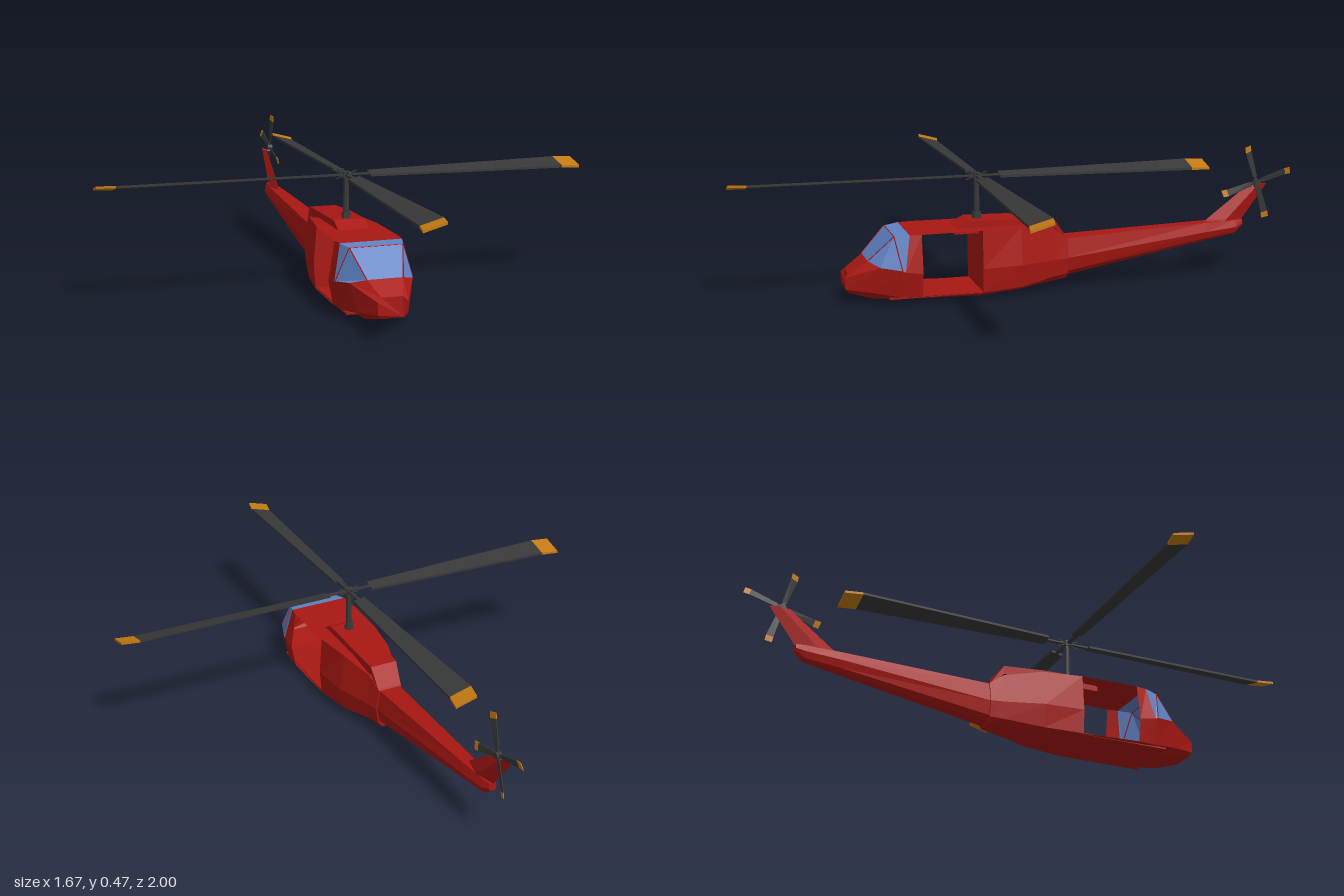
import * as THREE from 'three';

const mat = (color) => new THREE.MeshStandardMaterial({ color, flatShading: true, side: THREE.DoubleSide });
const red = mat(0xa81712), blue = mat(0x5f82c4), dark = mat(0x383838), orange = mat(0xc47a12);

// Skin between rings of [x, y, z] running towards -z; keep(i, j) picks the quads
function loft(rings, { keep = () => true, capStart = false, capEnd = false } = {}) {
  const pos = [], n = rings[0].length;
  const tri = (a, b, c) => pos.push(...a, ...b, ...c);
  for (let i = 0; i < rings.length - 1; i++) {
    for (let j = 0; j < n; j++) {
      if (!keep(i, j)) continue;
      const k = (j + 1) % n, A = rings[i], B = rings[i + 1];
      tri(A[j], B[j], B[k]);
      tri(A[j], B[k], A[k]);
    }
  }
  const first = rings[0], last = rings[rings.length - 1];
  for (let j = 1; j < n - 1; j++) {
    if (capStart) tri(first[0], first[j], first[j + 1]);
    if (capEnd) tri(last[0], last[j + 1], last[j]);
  }
  const g = new THREE.BufferGeometry();
  g.setAttribute('position', new THREE.Float32BufferAttribute(pos, 3));
  g.computeVertexNormals();
  return g;
}

// Mirror a half section (bottom, chine, belt, top) into a full ring
const ring = (half) => [...half, ...half.slice().reverse().map(([x, y, z]) => [-x, y, z])];
const station = (z, ...half) => ring(half.map(([x, y]) => [x, y, z]));

function add(parent, name, geometry, material) {
  const mesh = new THREE.Mesh(geometry, material);
  mesh.name = name;
  parent.add(mesh);
  return mesh;
}

// Blade along -z from stations [radius, half chord, half twist, sweep]
function bladePiece(stations, t) {
  return loft(stations.map(([r, w, p, s]) => [
    [s + w, -p - t, -r], [s + w, -p + t, -r], [s - w, p + t, -r], [s - w, p - t, -r],
  ]), { capStart: true, capEnd: true });
}

function makeRotor(name, { root, tipStart, tip, rootW, tipW, twist, sweep, t, rod, hub, spin }) {
  const rotor = new THREE.Group();
  rotor.name = name;
  for (let k = 0; k < 4; k++) {
    const arm = new THREE.Group();
    arm.name = 'rotorArm';
    arm.rotation.y = spin + k * Math.PI / 2;
    add(arm, 'blade', bladePiece([[root, rootW, twist * 0.4, 0], [tipStart, tipW, twist, 0]], t), dark);
    add(arm, 'bladeTip', bladePiece([[tipStart, tipW, twist, 0], [tip, tipW, twist, sweep]], t), orange);
    const grip = add(arm, 'bladeGrip', new THREE.BoxGeometry(rod * 2, rod, root), dark);
    grip.position.z = -root / 2;
    rotor.add(arm);
  }
  add(rotor, 'hub', new THREE.CylinderGeometry(hub, hub, hub * 1.5, 8), dark);
  return rotor;
}

export function createModel() {
  const model = new THREE.Group();
  model.name = 'helicopter';

  // Cockpit shell, with window panes taken out and filled with glass
  const cockpit = [
    ring([[0.04, 0.04, 0.62], [0.05, 0.055, 0.63], [0.05, 0.095, 0.63], [0.035, 0.108, 0.62]]),
    ring([[0.06, 0.02, 0.54], [0.085, 0.045, 0.54], [0.105, 0.135, 0.52], [0.06, 0.15, 0.555]]),
    ring([[0.06, 0.012, 0.45], [0.11, 0.03, 0.45], [0.13, 0.125, 0.45], [0.09, 0.235, 0.47]]),
    ring([[0.06, 0.011, 0.42], [0.113, 0.03, 0.42], [0.13, 0.12, 0.44], [0.105, 0.24, 0.42]]),
    station(0.38, [0.06, 0.01], [0.115, 0.03], [0.13, 0.11], [0.11, 0.24]),
  ];
  const isGlass = (i, j) => (i === 1 || i === 2) && j >= 2 && j <= 4;
  add(model, 'cockpitShell', loft(cockpit, { keep: (i, j) => !isGlass(i, j), capStart: true }), red);
  add(model, 'windshield', loft(cockpit, { keep: isGlass }), blue);

  // Window frame bars
  const bar = (a, b) => add(model, 'windowFrame', new THREE.TubeGeometry(
    new THREE.LineCurve3(new THREE.Vector3(...a), new THREE.Vector3(...b)), 1, 0.002, 4), red);
  for (const j of [3, 4]) bar(cockpit[1][j], cockpit[2][j]);
  for (const j of [2, 5]) bar(cockpit[2][j], cockpit[2][j === 2 ? 3 : 4]);
  bar(cockpit[2][3], cockpit[2][4]);

  // Cabin belly and roof, open on both sides
  const rearWall = station(0.17, [0.06, 0.003], [0.108, 0.025], [0.115, 0.11], [0.105, 0.24]);
  const cabin = [station(0.38, [0.06, 0.01], [0.115, 0.03], [0.115, 0.11], [0.11, 0.24]), rearWall];
  add(model, 'cabinBellyAndRoof', loft(cabin, { keep: (i, j) => [0, 3, 6, 7].includes(j) }), red);
  const floor = add(model, 'cabinFloor', new THREE.BoxGeometry(0.21, 0.006, 0.32), red);
  floor.position.set(0, 0.026, 0.33);

  // Rear fuselage, starting with the cabin's rear wall
  add(model, 'rearFuselage', loft([
    rearWall,
    station(0.03, [0.05, 0.012], [0.09, 0.03], [0.104, 0.11], [0.085, 0.238]),
    station(-0.1, [0.035, 0.03], [0.055, 0.05], [0.064, 0.11], [0.05, 0.215]),
    station(-0.15, [0.03, 0.036], [0.045, 0.055], [0.054, 0.11], [0.042, 0.18]),
  ], { capStart: true, capEnd: true }), red);

  // Tail boom
  add(model, 'tailBoom', loft([
    station(-0.14, [0.022, 0.042], [0.04, 0.06], [0.05, 0.11], [0.038, 0.178]),
    station(-0.67, [0.012, 0.13], [0.022, 0.14], [0.031, 0.165], [0.022, 0.197]),
    station(-0.79, [0.01, 0.15], [0.016, 0.155], [0.024, 0.175], [0.015, 0.2]),
    station(-0.82, [0.006, 0.175], [0.01, 0.178], [0.014, 0.185], [0.01, 0.2]),
  ], { capStart: true, capEnd: true }), red);

  // Swept tail fin, from root up to tip: [y, leading z, trailing z, half width]
  const fin = [[0.18, -0.66, -0.81, 0.02], [0.205, -0.685, -0.825, 0.018], [0.325, -0.845, -0.915, 0.009]];
  add(model, 'tailFin', loft(fin.map(([y, a, b, w]) => {
    const m = (a + b) / 2;
    return [[0, y, a], [-w, y, m], [0, y, b], [w, y, m]];
  }), { capStart: true, capEnd: true }), red);

  // Engine housing on the roof
  add(model, 'engineHousing', loft([
    [0.255, 0.236, 0.054], [0.2, 0.264, 0.054], [0.05, 0.26, 0.054], [-0.1, 0.25, 0.048], [-0.15, 0.175, 0.042],
  ].map(([z, y, w]) => [[w, Math.min(0.22, y - 0.01), z], [w, y, z], [-w, y, z], [-w, Math.min(0.22, y - 0.01), z]]),
  { capStart: true, capEnd: true }), red);

  // Mast with base collar
  const mast = add(model, 'rotorMast', new THREE.CylinderGeometry(0.009, 0.011, 0.16, 8), dark);
  mast.position.set(0, 0.335, 0.165);
  const collar = add(model, 'mastCollar', new THREE.CylinderGeometry(0.015, 0.017, 0.025, 8), dark);
  collar.position.set(0, 0.272, 0.165);

  // Main rotor
  const main = makeRotor('mainRotor', {
    root: 0.08, tipStart: 0.775, tip: 0.835, rootW: 0.02, tipW: 0.037, twist: 0.01,
    sweep: 0.013, t: 0.004, rod: 0.006, hub: 0.014, spin: 0,
  });
  main.position.set(0, 0.41, 0.165);
  for (let k = 0; k < 4; k++) {
    const link = add(main, 'pitchLink', new THREE.BoxGeometry(0.08, 0.003, 0.004), dark);
    link.rotation.set(0, k * Math.PI / 2, k % 2 ? 0.35 : -0.35);
  }
  model.add(main);

  // Tail rotor on the left of the fin
  const tail = makeRotor('tailRotor', {
    root: 0.02, tipStart: 0.115, tip: 0.135, rootW: 0.008, tipW: 0.012, twist: 0.003,
    sweep: 0.003, t: 0.0015, rod: 0.005, hub: 0.012, spin: 0.3,
  });
  tail.rotation.z = -Math.PI / 2;
  tail.position.set(0.018, 0.335, -0.867);
  model.add(tail);
  const shaft = add(model, 'tailRotorShaft', new THREE.CylinderGeometry(0.006, 0.006, 0.03, 6), dark);
  shaft.rotation.z = Math.PI / 2;
  shaft.position.set(0.006, 0.32, -0.867);

  return model;
}
